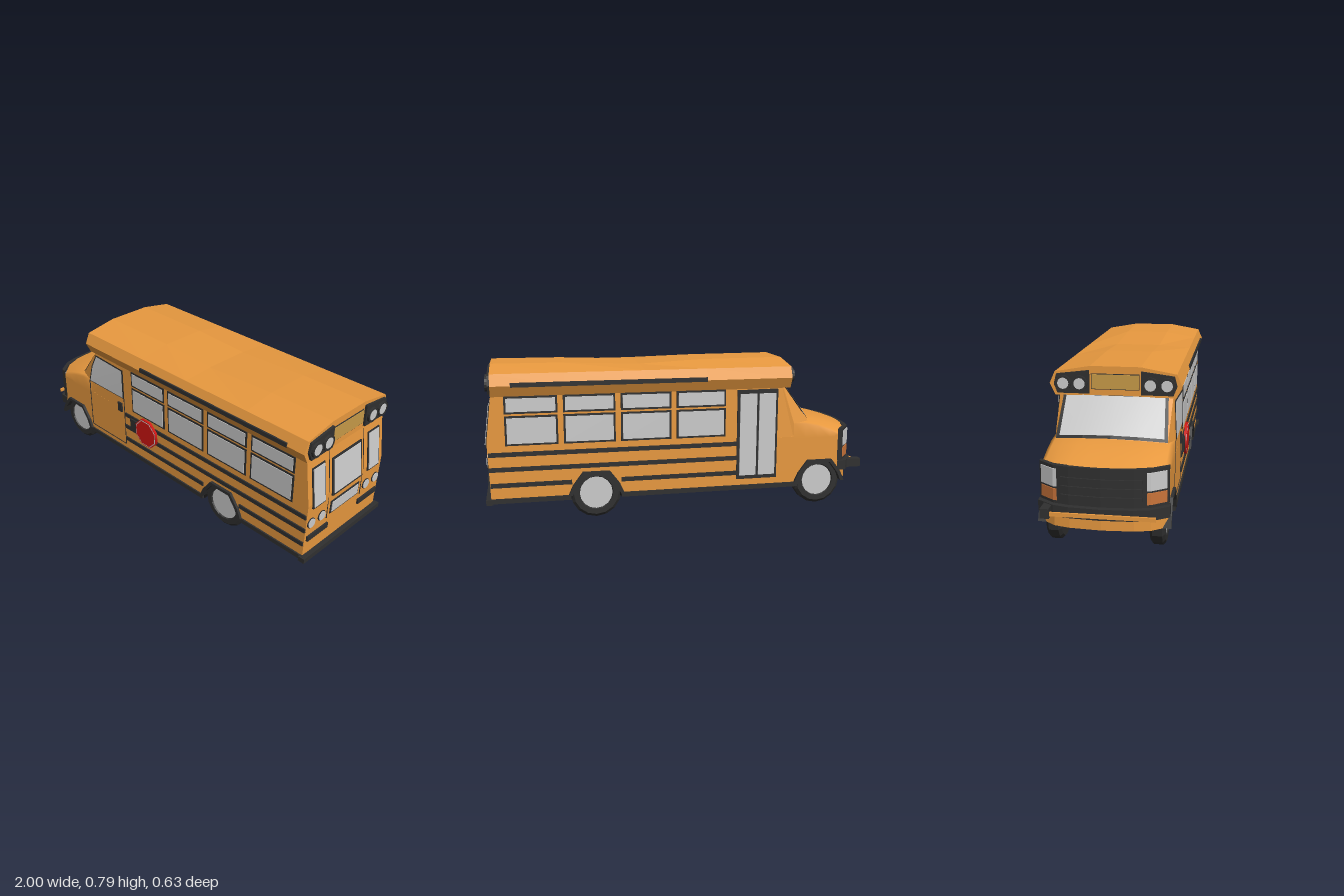
import * as THREE from 'three';

const mat = (color, extra = {}) => new THREE.MeshStandardMaterial({ color, side: THREE.DoubleSide, ...extra });
const paint = mat(0xe8993f, { flatShading: true });
const smoothPaint = mat(0xe8993f);
const dark = mat(0x303030, { flatShading: true });
const under = mat(0x161616);
const grey = mat(0xcccccc);
const red = mat(0xd01512);
const amber = mat(0xc9743a);
const signYellow = mat(0xc79a48);

export function createModel() {
  const bus = new THREE.Group();
  bus.name = 'bus';

  const add = (name, geo, material, x = 0, y = 0, z = 0) => {
    const m = new THREE.Mesh(geo, material);
    m.name = name;
    m.position.set(x, y, z);
    bus.add(m);
    return m;
  };
  // box given by its limits
  const box = (name, material, x0, x1, y0, y1, z0, z1) =>
    add(name, new THREE.BoxGeometry(x1 - x0, y1 - y0, Math.abs(z1 - z0)), material, (x0 + x1) / 2, (y0 + y1) / 2, (z0 + z1) / 2);
  const shapeOf = (pts) => new THREE.Shape(pts.map((p) => new THREE.Vector2(...p)));
  const extrude = (pts, depth, steps = 1) =>
    new THREE.ExtrudeGeometry(shapeOf(pts), { depth, steps, bevelEnabled: false });
  // plate outlined in (z, y), growing along +x
  const endPlate = (name, material, pts, x, depth) =>
    add(name, extrude(pts.map(([z, y]) => [-z, y]), depth).rotateY(Math.PI / 2), material, x);
  // surface through rows of points
  const surface = (rows) => {
    const n = rows[0].length, idx = [];
    for (let i = 0; i < rows.length - 1; i++)
      for (let j = 0; j < n - 1; j++) {
        const a = i * n + j;
        idx.push(a, a + 1, a + n, a + 1, a + n + 1, a + n);
      }
    const g = new THREE.BufferGeometry();
    g.setAttribute('position', new THREE.Float32BufferAttribute(rows.flat(2), 3));
    g.setIndex(idx);
    g.computeVertexNormals();
    return g;
  };
  const mirrorRow = (half) => [...half, ...half.slice(0, -1).reverse().map(([x, y, z]) => [x, y, -z])];

  // plan curve of the nose: x for a given z
  const noseZ = [0, 0.144, 0.216, 0.288], noseX = [-0.953, -0.943, -0.925, -0.87];
  const nose = (z) => {
    const a = Math.min(Math.abs(z), 0.288);
    let i = 0;
    while (i < 2 && a > noseZ[i + 1]) i++;
    return THREE.MathUtils.lerp(noseX[i], noseX[i + 1], (a - noseZ[i]) / (noseZ[i + 1] - noseZ[i]));
  };
  // strip wrapped around the nose
  const noseBand = (name, material, z0, z1, y0, y1, off) => {
    const zs = [z0, ...[-0.216, -0.144, 0, 0.144, 0.216].filter((z) => z > z0 && z < z1), z1];
    const pts = [...zs.map((z) => [nose(z) - off, -z]), ...zs.slice().reverse().map((z) => [nose(z) + 0.02, -z])];
    add(name, extrude(pts, y1 - y0).rotateX(-Math.PI / 2), material, 0, y0);
  };

  // hull with open wheel arches
  const wheelX = [-0.747, 0.452];
  const arch = (cx, s = 1) => [[-0.125, 0.13], [-0.105, 0.175], [-0.06, 0.235], [0.06, 0.235], [0.105, 0.175], [0.125, 0.13]]
    .map(([x, y]) => [cx + x * s, 0.13 + (y - 0.13) * s]);
  const hull = extrude([
    [-0.87, 0.38], [-0.87, 0.16], ...arch(wheelX[0]), [-0.3, 0.125], ...arch(wheelX[1]),
    [0.975, 0.125], [0.985, 0.42], [0.955, 0.66], [-0.285, 0.66], [-0.285, 0.38],
  ], 0.576, 8).translate(0, 0, -0.288);
  const hp = hull.attributes.position;
  for (let i = 0; i < hp.count; i++) if (hp.getX(i) < -0.869) hp.setX(i, nose(hp.getZ(i)));
  hull.computeVertexNormals();
  add('bodyShell', hull, paint);

  // hood
  const hoodRows = [0, 0.25, 0.5, 0.75, 1].map((t) => {
    const half = [0.288, 0.288, 0.27, 0.216, 0.144, 0.07, 0].map((z, k) => {
      const y = 0.412 + 0.07 * Math.sin(t * Math.PI / 2) - 0.03 * (z / 0.288) ** 4;
      return [THREE.MathUtils.lerp(nose(z), -0.6, t), k === 0 ? 0.37 : y, z];
    });
    return mirrorRow(half);
  });
  add('hood', surface(hoodRows), smoothPaint);

  // cab around the windshield
  const sill = [[-0.28, 0.37, 0.288], [-0.6, 0.37, 0.287], [-0.6, 0.45, 0.286], [-0.685, 0.46, 0.262], [-0.71, 0.473, 0.13], [-0.718, 0.478, 0]];
  const brow = [[-0.28, 0.66, 0.288], [-0.53, 0.66, 0.272], [-0.53, 0.66, 0.272], [-0.545, 0.655, 0.25], [-0.56, 0.655, 0.13], [-0.562, 0.655, 0]];
  add('cab', surface([mirrorRow(sill), mirrorRow(brow)]), paint);
  const screen = (name, material, v0, v1, w, off) => {
    const at = (v) => mirrorRow(sill.slice(3).map((p, i) => {
      const q = brow[i + 3];
      const [x, y, z] = p.map((c, k) => c + (q[k] - c) * v);
      return [x - off, y + off, z * w];
    }));
    add(name, surface([at(v0), at(v1)]), material);
  };
  screen('windshieldFrame', dark, 0, 1, 1, 0.003);
  screen('windshield', grey, 0.06, 0.93, 0.94, 0.006);

  // roof with a slight dip along its length
  const section = (x, top) => [[0.288, 0.645], [0.315, 0.70], [0.29, 0.757], [0.12, top], [-0.12, top], [-0.29, 0.757], [-0.315, 0.70], [-0.288, 0.645], [0.288, 0.645]]
    .map(([z, y]) => [x, y, z]);
  add('roof', surface([[-0.57, 0.787], [-0.12, 0.785], [0.2, 0.769], [0.6, 0.785], [0.955, 0.787]].map((s) => section(...s))), paint);
  for (const x of [-0.57, 0.955])
    endPlate('roofEnd', paint, section(x, 0.787).slice(0, -1).map((p) => [p[2], p[1]]), x - 0.002, 0.004);

  // roof lamps and blank sign panels at both ends
  for (const [x, dir] of [[0.957, 1], [-0.572, -1]]) {
    const px = (d) => (dir > 0 ? x : x - d);
    for (const s of [1, -1]) {
      endPlate('lampPanel', dark, [[0.123, 0.768], [0.123, 0.657], [0.275, 0.657], [0.292, 0.70], [0.28, 0.748]].map(([z, y]) => [z * s, y]), px(0.012), 0.012);
      for (const z of [0.168, 0.246]) {
        const ring = new THREE.CylinderGeometry(0.038, 0.038, 0.02, 16, 1, true).rotateZ(Math.PI / 2);
        add('lampHood', ring, dark, x + dir * 0.014, 0.705, z * s);
        add('lampRim', new THREE.RingGeometry(0.027, 0.038, 16).rotateY(Math.PI / 2), dark, x + dir * 0.022, 0.705, z * s);
        add('lamp', new THREE.CylinderGeometry(0.027, 0.027, 0.012, 16).rotateZ(Math.PI / 2), grey, x + dir * 0.017, 0.705, z * s);
      }
    }
    box('signFrame', dark, x - 0.004, x + 0.004, 0.677, 0.752, -0.115, 0.115);
    box('signPanel', signYellow, x - 0.006, x + 0.006, 0.68, 0.749, -0.112, 0.112);
  }

  // passenger windows, rails and skirts on both sides
  for (const s of [1, -1]) {
    for (let i = 0; i < 4; i++) {
      const x = -0.217 + i * 0.2865;
      for (const [y0, y1] of [[0.565, 0.64], [0.406, 0.543]]) {
        box('windowFrame', dark, x - 0.006, x + 0.253, y0 - 0.006, y1 + 0.006, s * 0.28, s * 0.291);
        box('windowPane', grey, x + 0.004, x + 0.243, y0 + 0.004, y1 - 0.004, s * 0.28, s * 0.294);
      }
    }
    for (const [x0, x1, y] of [[-0.285, 0.98, 0.357], [-0.285, 0.98, 0.281], [-0.285, 0.325, 0.2], [0.575, 0.975, 0.2]])
      box('rubRail', dark, x0, x1, y - 0.011, y + 0.011, s * 0.28, s * 0.295);
    box('roofRail', dark, -0.12, 0.86, 0.693, 0.715, s * 0.3, s * 0.317);
    for (const [x0, x1] of [[-0.625, -0.28], [-0.28, 0.325], [0.58, 0.99]])
      box('skirt', dark, x0, x1, 0.108, 0.132, s * 0.26, s * 0.296);
  }

  // underside, wheel wells and arch flares
  for (const [x0, x1] of [[-0.625, 0.33], [0.575, 0.985]]) box('underside', under, x0, x1, 0.11, 0.127, -0.285, 0.285);
  box('frontUnderside', under, -0.92, -0.86, 0.155, 0.165, -0.22, 0.22);
  for (const cx of wheelX) {
    box('wheelWell', under, cx - 0.13, cx + 0.13, 0.11, 0.235, -0.19, 0.19);
    const flare = [...arch(cx, 1.14), ...arch(cx, 0.98).reverse()];
    add('archFlare', extrude(flare, 0.604), dark, 0, 0, -0.302);
    for (const s of [1, -1]) {
      const profile = [[0.08, -0.035], [0.115, -0.035], [0.13, -0.022], [0.13, 0.022], [0.115, 0.035], [0.088, 0.035], [0.082, 0.024]];
      const tyre = new THREE.LatheGeometry(profile.map((p) => new THREE.Vector2(...p)), 16).rotateX(s * Math.PI / 2);
      add('tyre', tyre, dark, cx, 0.131, s * 0.237);
      add('hub', new THREE.CylinderGeometry(0.085, 0.085, 0.054, 16).rotateX(Math.PI / 2), grey, cx, 0.131, s * 0.238);
    }
  }

  // driver's door; its window leans with the cab side
  const lean = (x, y, off) => {
    const k = (y - 0.45) / 0.21, t = (x + 0.28) / -0.27;
    return [x, y, 0.288 - 0.016 * Math.max(0, k) * Math.min(1, t) + off];
  };
  const driverPane = (name, material, scale, off) => {
    const pts = [[-0.6, 0.45], [-0.29, 0.45], [-0.29, 0.627], [-0.54, 0.627], [-0.578, 0.55]]
      .map(([x, y]) => [-0.43 + (x + 0.43) * scale, 0.537 + (y - 0.537) * scale]);
    const g = new THREE.ShapeGeometry(shapeOf(pts));
    const p = g.attributes.position;
    for (let i = 0; i < p.count; i++) p.setXYZ(i, ...lean(p.getX(i), p.getY(i), off));
    g.computeVertexNormals();
    add(name, g, material);
  };
  driverPane('driverWindowFrame', dark, 1, 0.004);
  driverPane('driverWindow', grey, 0.93, 0.007);
  for (const x of [-0.602, -0.296]) box('doorSeam', dark, x - 0.002, x + 0.002, 0.157, 0.45, 0.28, 0.29);
  box('doorSeam', dark, -0.602, -0.296, 0.155, 0.159, 0.28, 0.29);
  box('doorHandle', dark, -0.345, -0.312, 0.36, 0.415, 0.28, 0.296);

  // folding passenger door
  box('entryFrame', dark, -0.505, -0.285, 0.165, 0.64, -0.25, -0.292);
  for (const x of [-0.493, -0.39]) box('entryPane', grey, x, x + 0.09, 0.185, 0.62, -0.25, -0.296);

  // stop paddle, left blank
  box('paddleMount', dark, -0.235, -0.13, 0.282, 0.355, 0.285, 0.302);
  const octagon = (name, material, r, h, z) =>
    add(name, new THREE.CylinderGeometry(r, r, h, 8, 1, false, Math.PI / 8).rotateX(Math.PI / 2), material, -0.1, 0.32, z);
  octagon('paddle', red, 0.086, 0.014, 0.302);
  octagon('paddleBorder', grey, 0.081, 0.015, 0.3025);
  octagon('paddleFace', red, 0.076, 0.016, 0.303);

  // rear wall: windows tilt with the wall
  const rearPane = (y0, y1, z0, z1, tilt, x, rim) => {
    const a = box('rearWindowFrame', dark, x - 0.008, x + 0.004, y0, y1, z0, z1);
    const b = box('rearWindow', grey, x - 0.008, x + 0.007, y0 + rim, y1 - rim, Math.min(z0, z1) + rim, Math.max(z0, z1) - rim);
    a.rotation.z = b.rotation.z = tilt;
  };
  rearPane(0.392, 0.592, -0.113, 0.113, 0.124, 0.977, 0.011);
  rearPane(0.285, 0.357, -0.111, 0.111, -0.034, 0.982, 0.008);
  for (const s of [1, -1]) {
    rearPane(0.394, 0.605, s * 0.165, s * 0.258, 0.124, 0.976, 0.007);
    box('rearBar', dark, 0.965, 0.988, 0.213, 0.24, s * 0.122, s * 0.275);
    box('rearDoorSeam', dark, 0.965, 0.984, 0.27, 0.42, s * 0.131, s * 0.134);
    box('rearDoorSeam', dark, 0.968, 0.973, 0.42, 0.64, s * 0.131, s * 0.134).rotation.z = 0.124;
    for (const z of [0.175, 0.253]) {
      add('tailLampRim', new THREE.CylinderGeometry(0.027, 0.027, 0.012, 16).rotateZ(Math.PI / 2), dark, 0.98, 0.311, s * z);
      add('tailLamp', new THREE.CylinderGeometry(0.024, 0.024, 0.016, 16).rotateZ(Math.PI / 2), grey, 0.981, 0.311, s * z);
    }
  }
  box('rearBumper', dark, 0.965, 1, 0.105, 0.131, -0.305, 0.305);

  // nose: grille, headlamps, signals, bumper
  noseBand('grilleSurround', dark, -0.29, 0.29, 0.24, 0.415, 0.006);
  for (const y of [0.27, 0.31, 0.35]) noseBand('grilleBar', dark, -0.18, 0.18, y, y + 0.018, 0.014);
  for (const s of [1, -1]) {
    const [z0, z1] = s > 0 ? [0.2, 0.282] : [-0.282, -0.2];
    noseBand('headlamp', grey, z0, z1, 0.318, 0.4, 0.012);
    noseBand('turnSignal', amber, z0, z1, 0.255, 0.308, 0.012);
  }
  noseBand('frontBumper', dark, -0.296, 0.296, 0.187, 0.238, 0.028);

  // crossing arm folded across the bumper
  box('armPivot', dark, -1, -0.92, 0.19, 0.235, -0.262, -0.222);
  box('crossingArm', paint, -0.994, -0.984, 0.2, 0.218, -0.24, 0.245);
  return bus;
}
